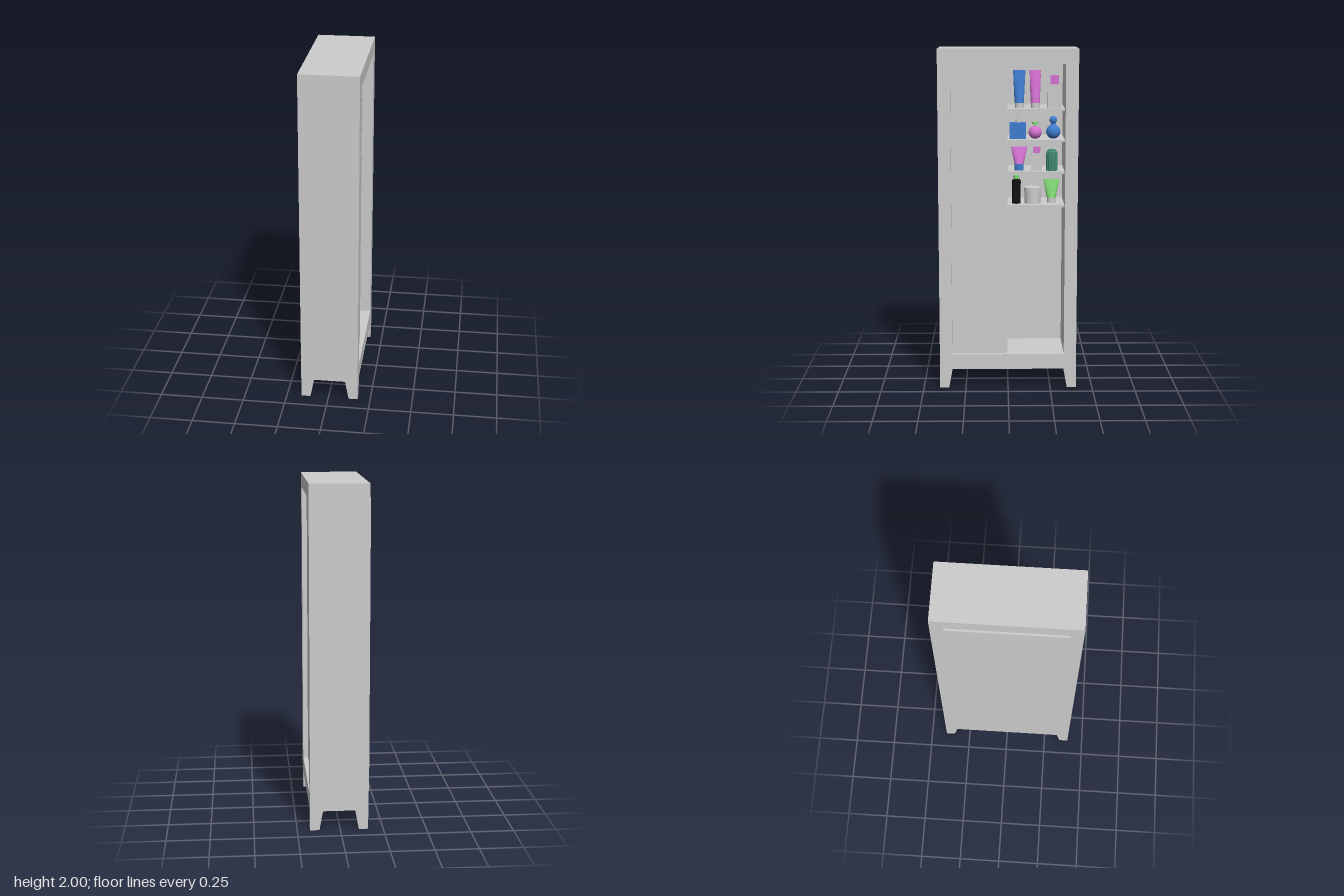
import * as THREE from 'three';

const mat = (name, color) => {
  const m = new THREE.MeshStandardMaterial({ color });
  m.name = name;
  return m;
};

export function createModel() {
  const grey = mat('light grey', 0xcccccc), pink = mat('pink', 0xd672d2), blue = mat('blue', 0x3f7dd0);
  const green = mat('light green', 0x7fd975), teal = mat('teal', 0x42896f), black = mat('black', 0x111111);

  const root = new THREE.Group();
  root.name = 'cabinet';
  const add = (parent, name, geo, material, x = 0, y = 0, z = 0) => {
    const m = new THREE.Mesh(geo, material);
    m.name = name;
    m.position.set(x, y, z);
    parent.add(m);
  };
  // Box given by its limits on each axis
  const slab = (name, x0, x1, y0, y1, z0, z1) =>
    add(root, name, new THREE.BoxGeometry(x1 - x0, y1 - y0, z1 - z0), grey, (x0 + x1) / 2, (y0 + y1) / 2, (z0 + z1) / 2);

  // Carcass: a rectangular frame running the full depth
  const X0 = -0.163, X1 = 0.175, W = 0.404, IN = 0.33, LOW = 0.115, FLOOR = 0.205, CEIL = 1.915;
  const rect = (C, w, y0, y1) => {
    const s = new C();
    s.moveTo(-w, y0);
    s.lineTo(w, y0);
    s.lineTo(w, y1);
    s.lineTo(-w, y1);
    s.closePath();
    return s;
  };
  const outline = rect(THREE.Shape, W, LOW, 2);
  outline.holes.push(rect(THREE.Path, IN, FLOOR, CEIL));
  const frame = new THREE.ExtrudeGeometry(outline, { depth: X1 - X0, bevelEnabled: false });
  frame.rotateY(Math.PI / 2);
  add(root, 'carcass', frame, grey, X0, 0, 0);
  slab('backPanel', -0.175, X0 + 0.001, FLOOR, CEIL, -IN, IN);

  // Two sliding doors, both pushed to one side
  slab('frontDoor', 0.131, 0.145, FLOOR, CEIL, 0.013, IN);
  slab('rearDoor', 0.117, 0.131, FLOOR, CEIL, 0.002, IN);

  // Shelves
  const shelfTops = [1.655, 1.475, 1.29, 1.093];
  for (const y of shelfTops) slab('shelf', X0, 0.117, y - 0.014, y, -IN, IN);

  // Legs: outer faces vertical, inner faces tapering towards the foot
  for (const sx of [-1, 1]) for (const sz of [-1, 1]) {
    const g = new THREE.BoxGeometry(0.075, LOW, 0.075);
    const p = g.attributes.position;
    for (let i = 0; i < p.count; i++) {
      if (p.getY(i) > 0) continue;
      if (p.getX(i) * sx < 0) p.setX(i, p.getX(i) + sx * 0.021);
      if (p.getZ(i) * sz < 0) p.setZ(i, p.getZ(i) + sz * 0.021);
    }
    g.computeVertexNormals();
    add(root, 'leg', g, grey, sx > 0 ? X1 - 0.0375 : X0 + 0.0375, LOW / 2, sz * (W - 0.0375));
  }

  // Toiletries: each group is built with its width along local x
  const item = (name, row, x, z) => {
    const g = new THREE.Group();
    g.name = name;
    g.position.set(x, shelfTops[row], z);
    g.rotation.y = Math.PI / 2;
    root.add(g);
    return g;
  };
  const cyl = (parent, name, material, r, y0, y1, rTop = r) =>
    add(parent, name, new THREE.CylinderGeometry(rTop, r, y1 - y0, 24), material, 0, (y0 + y1) / 2, 0);

  // Squeeze tube: round above the cap, pressed flat and wide at the top
  const squeezeTube = (g, bodyMat, capMat, capR, capH, top, h) => {
    const len = h - capH, r = 0.027;
    cyl(g, 'tubeCap', capMat, capR, 0, capH);
    const geo = new THREE.CylinderGeometry(1, 1, len, 24, 6);
    const p = geo.attributes.position;
    for (let i = 0; i < p.count; i++) {
      const t = THREE.MathUtils.clamp(p.getY(i) / len + 0.5, 0, 1);
      p.setX(i, p.getX(i) * (r + (top - r) * t));
      p.setZ(i, p.getZ(i) * (r * (1 - t) + 0.003));
    }
    geo.computeVertexNormals();
    add(g, 'tubeBody', geo, bodyMat, 0, capH + len / 2, 0);
  };

  // Flat bottle with rounded shoulders and a block cap
  const flatBottle = (g, w, h, capW, top) => {
    const r = w * 0.3, d = w * 0.45, s = new THREE.Shape();
    s.moveTo(-w / 2, 0);
    s.lineTo(w / 2, 0);
    s.lineTo(w / 2, h - r);
    s.quadraticCurveTo(w / 2, h, w / 2 - r, h);
    s.lineTo(-w / 2 + r, h);
    s.quadraticCurveTo(-w / 2, h, -w / 2, h - r);
    s.closePath();
    add(g, 'bottleBody', new THREE.ExtrudeGeometry(s, { depth: d, bevelEnabled: false, curveSegments: 6 }), grey, 0, 0, -d / 2);
    add(g, 'bottleCap', new THREE.BoxGeometry(capW, top - h, d * 0.75), pink, 0, (top + h) / 2, 0);
  };

  // Faceted ball
  const gem = (g, name, r, detail, y) => {
    const geo = new THREE.IcosahedronGeometry(r, detail);
    geo.computeVertexNormals();
    add(g, name, geo, blue, 0, y, 0);
  };

  // Top shelf
  squeezeTube(item('blueTube', 0, 0.05, -0.066), blue, grey, 0.024, 0.03, 0.036, 0.217);
  squeezeTube(item('pinkTube', 0, 0.05, -0.159), pink, grey, 0.024, 0.03, 0.033, 0.217);
  flatBottle(item('tallBottle', 0, 0.062, -0.27), 0.082, 0.135, 0.048, 0.188);

  // Second shelf
  const pump = item('squareDispenser', 1, 0.06, -0.058);
  add(pump, 'dispenserBody', new THREE.BoxGeometry(0.095, 0.095, 0.045), blue, 0, 0.0475, 0);
  cyl(pump, 'dispenserCollar', grey, 0.013, 0.095, 0.111);
  cyl(pump, 'dispenserNozzle', grey, 0.006, 0.111, 0.132);

  const flask = item('roundFlask', 1, 0.06, -0.159);
  add(flask, 'flaskBody', new THREE.SphereGeometry(0.038, 24, 16), pink, 0, 0.038, 0);
  cyl(flask, 'flaskNeck', green, 0.008, 0.072, 0.09);
  cyl(flask, 'flaskStopper', green, 0.019, 0.088, 0.098);

  const decanter = item('facetedDecanter', 1, 0.05, -0.265);
  gem(decanter, 'decanterBody', 0.042, 2, 0.041);
  cyl(decanter, 'decanterNeck', blue, 0.017, 0.078, 0.09, 0.014);
  gem(decanter, 'decanterStopper', 0.023, 1, 0.11);

  // Third shelf
  squeezeTube(item('wideTube', 2, 0.055, -0.066), pink, blue, 0.027, 0.039, 0.048, 0.138);
  flatBottle(item('smallBottle', 2, 0.06, -0.168), 0.065, 0.103, 0.042, 0.137);

  // Ribbed canister: alternate columns of a domed lathe are pulled in
  const dome = [[0.001, 0], [0.034, 0], [0.034, 0.095], [0.031, 0.11], [0.022, 0.123], [0.001, 0.127]];
  const lathe = new THREE.LatheGeometry(dome.map(([r, y]) => new THREE.Vector2(r, y)), 24);
  const lp = lathe.attributes.position;
  for (let i = 0; i < lp.count; i++) {
    const k = Math.floor(i / dome.length) % 2 ? 0.9 : 1;
    lp.setX(i, lp.getX(i) * k);
    lp.setZ(i, lp.getZ(i) * k);
  }
  const ribs = lathe.toNonIndexed();
  ribs.computeVertexNormals();
  add(item('ribbedCanister', 2, 0.065, -0.257), 'canisterBody', ribs, teal);

  // Bottom shelf
  const dark = item('darkBottle', 3, 0.05, -0.05);
  cyl(dark, 'darkBottleBody', black, 0.026, 0, 0.135);
  cyl(dark, 'darkBottleShoulder', black, 0.026, 0.135, 0.145, 0.018);
  cyl(dark, 'darkBottleCap', green, 0.016, 0.145, 0.165);

  const jar = item('creamJar', 3, 0.04, -0.145);
  cyl(jar, 'jarBase', grey, 0.047, 0, 0.07);
  cyl(jar, 'jarLid', grey, 0.051, 0.07, 0.095);

  squeezeTube(item('greenTube', 3, 0.02, -0.257), green, grey, 0.025, 0.03, 0.047, 0.138);

  return root;
}
